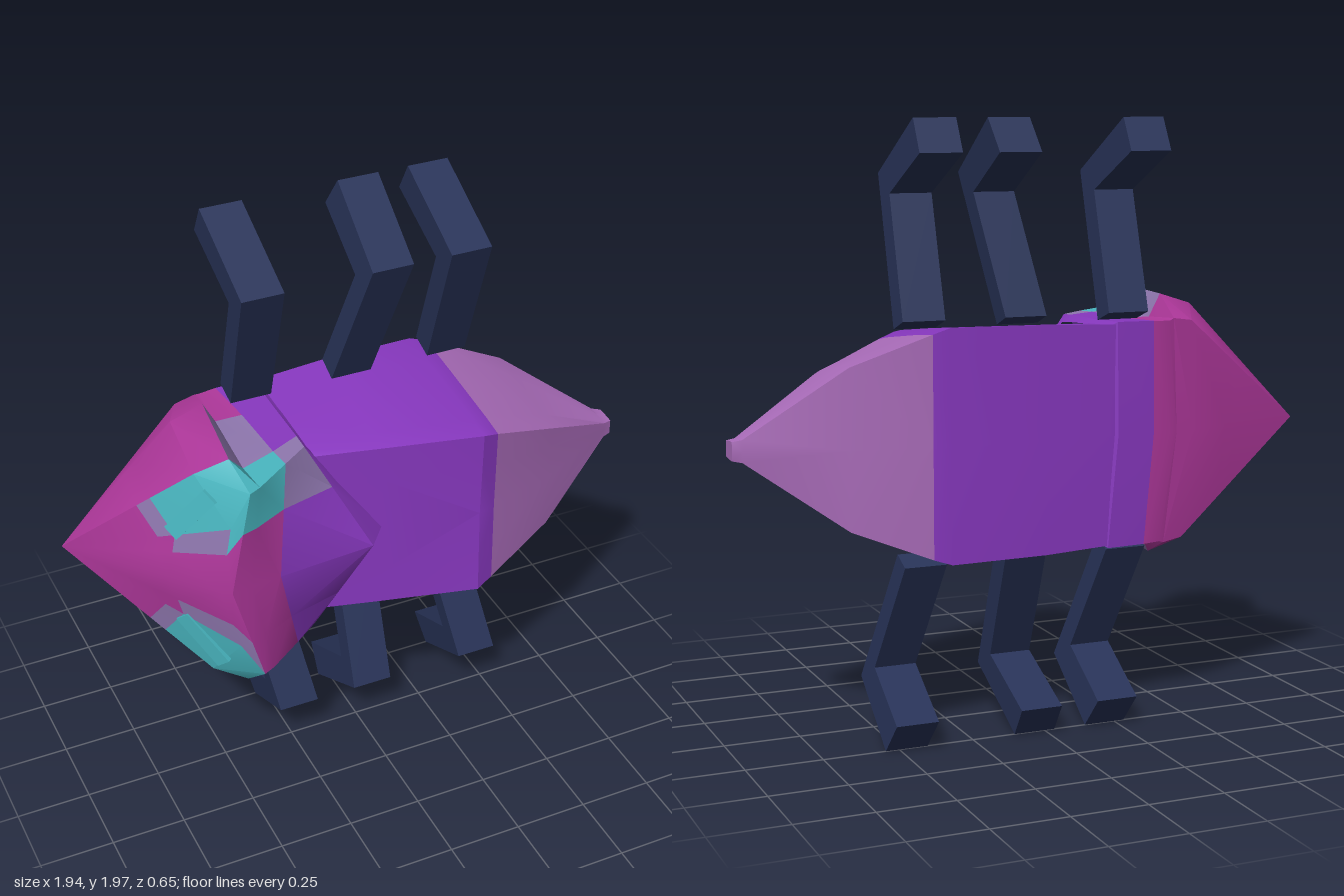
import * as THREE from 'three';
import { toCreasedNormals } from 'three/addons/utils/BufferGeometryUtils.js';

const MID = 0.975; // height of the body's long axis

const paint = (name, color) => {
  const m = new THREE.MeshStandardMaterial({ color });
  m.name = name;
  return m;
};
const lerp3 = (a, b, t) => a.map((v, i) => v + (b[i] - v) * t);

// Six points [x, half width, z] from front centre to back centre become a mirrored ring of 12.
function ring(half, skew) {
  const h = [half[0], lerp3(half[0], half[1], 0.6), ...half.slice(1)];
  const up = h.map(([x, y, z]) => [x, MID + y, z]);
  const down = h.slice(1, 6).reverse().map(([x, y, z]) => [x + skew * y, MID - y, z]);
  return [...up, ...down];
}

// Skin a row of rings; colourOf(band, side, isLower) gives a material index.
function loft(name, sections, skew, materials, colourOf) {
  const rings = sections.map((s) => ring(s, skew));
  const pos = [];
  const colours = [];
  for (let i = 0; i < rings.length - 1; i++) {
    for (let j = 0; j < 12; j++) {
      const k = (j + 1) % 12;
      const [a, b, c, d] = [rings[i][j], rings[i + 1][j], rings[i + 1][k], rings[i][k]];
      // mirror the diagonal on the lower half
      if (j < 6) pos.push(...a, ...b, ...d, ...b, ...c, ...d);
      else pos.push(...a, ...b, ...c, ...a, ...c, ...d);
      colours.push(colourOf(i, Math.min(j, 11 - j), j > 5));
    }
  }
  let geo = new THREE.BufferGeometry();
  geo.setAttribute('position', new THREE.Float32BufferAttribute(pos, 3));
  geo = toCreasedNormals(geo, 0.45);
  geo.clearGroups();
  colours.forEach((c, i) => geo.addGroup(i * 6, 6, c));
  const mesh = new THREE.Mesh(geo, materials);
  mesh.name = name;
  return mesh;
}

// Bent leg: side outline extruded across x, then sheared from hip to foot.
function leg(name, upper, hipX, footX, material) {
  const outline = [[-0.15, 1.34], [0.05, 1.815], [-0.25, 1.99], [-0.32, 1.885], [-0.065, 1.755], [-0.23, 1.37]];
  const shape = new THREE.Shape(outline.map(([z, y]) =>
    new THREE.Vector2(-z, upper ? y : 0.62 - (y - 1.345) * 0.931)));
  const geo = new THREE.ExtrudeGeometry(shape, { depth: 0.14, bevelEnabled: false });
  geo.translate(0, 0, -0.07).rotateY(Math.PI / 2);
  const p = geo.attributes.position;
  for (let i = 0; i < p.count; i++) {
    const y = p.getY(i);
    const t = upper ? (y - 1.35) / 0.6 : (0.62 - y) / 0.6;
    p.setX(i, p.getX(i) + hipX + (footX - hipX) * t);
  }
  geo.computeVertexNormals();
  const mesh = new THREE.Mesh(geo, material);
  mesh.name = name;
  return mesh;
}

export function createModel() {
  const model = new THREE.Group();
  model.name = 'beetle';
  const magenta = paint('magenta', 0xb0389c);
  const purple = paint('purple', 0x8838c0);
  const lilac = paint('lilac', 0xaa6cba);
  const cyan = paint('cyan', 0x4ab8c2);
  const mauve = paint('mauve', 0x9078b0);
  const navy = paint('navy', 0x283358);

  // Head and thorax shield
  const tip = Array(6).fill([-0.97, 0, -0.13]);
  const cheek = [[-0.6, 0, 0.31], [-0.56, 0.23, 0.31], [-0.63, 0.385, 0.2],
    [-0.6, 0.4, -0.08], [-0.53, 0.36, -0.23], [-0.53, 0, -0.25]];
  const along = (t) => cheek.map((p, i) => lerp3(tip[i], p, t));
  const rim = [[-0.57, 0, 0.33], [-0.5, 0.355, 0.33], [-0.53, 0.435, 0.24],
    [-0.49, 0.435, -0.08], [-0.46, 0.37, -0.24], [-0.47, 0, -0.25]];
  const neck = [[-0.5, 0, 0.322], [-0.46, 0.355, 0.31], [-0.47, 0.36, 0.2],
    [-0.45, 0.36, -0.08], [-0.44, 0.363, -0.25], [-0.44, 0, -0.258]];
  const shield = [[-0.4, 0, 0.31], [-0.34, 0.355, 0.225], [-0.35, 0.358, 0.15],
    [-0.36, 0.36, -0.08], [-0.38, 0.366, -0.255], [-0.38, 0, -0.263]];
  const point = [[-0.07, 0, 0.285], [-0.25, 0.353, 0.16], [-0.25, 0.357, 0.1],
    [-0.25, 0.36, -0.08], [-0.25, 0.368, -0.258], [-0.25, 0, -0.268]];
  const lip = [[0, 0, 0.2], [-0.23, 0.33, 0.13], [-0.23, 0.335, 0.08],
    [-0.23, 0.345, -0.08], [-0.23, 0.355, -0.245], [-0.23, 0, -0.25]];
  const [M, P, C, G] = [0, 1, 2, 3];
  const frontColour = (band, side, lower) => {
    if (band === 1) return side === 2 ? G : M;
    if (band === 2) return side === 2 ? C : side === 1 ? G : M;
    if (band === 3) return side === 2 ? C : side === 1 ? (lower ? G : C) : M;
    if (band === 4) return side === 1 ? (lower ? M : C) : side === 2 ? C : side === 3 ? G : M;
    if (band === 5) return lower ? M : side === 1 || side === 2 ? C : side === 3 ? G : M;
    if (band === 6) return !lower && (side === 1 || side === 2) ? G : P;
    return band > 6 ? P : M;
  };
  model.add(loft('headAndThorax',
    [tip, along(0.58), along(0.68), cheek, rim, neck, shield, point, lip],
    0.08, [magenta, purple, cyan, mauve], frontColour));

  // Abdomen and tapering tail
  const abdomen = [
    [[-0.35, 0, 0.12], [-0.35, 0.3, 0.12], [-0.35, 0.32, 0.08], [-0.35, 0.345, -0.08], [-0.35, 0.355, -0.25], [-0.35, 0, -0.255]],
    [[0, 0, 0.205], [0, 0.303, 0.205], [0, 0.315, 0.13], [0, 0.35, -0.08], [0, 0.37, -0.265], [0, 0, -0.27]],
    [[0.32, 0, 0.27], [0.32, 0.305, 0.28], [0.32, 0.32, 0.2], [0.32, 0.355, -0.08], [0.32, 0.375, -0.26], [0.32, 0, -0.26]],
    [[0.38, 0, 0.255], [0.38, 0.285, 0.26], [0.38, 0.3, 0.18], [0.38, 0.335, -0.08], [0.38, 0.355, -0.255], [0.38, 0, -0.255]],
    [[0.63, 0, 0.18], [0.63, 0.19, 0.18], [0.63, 0.21, 0.12], [0.63, 0.245, -0.07], [0.63, 0.258, -0.19], [0.63, 0, -0.195]],
    [[0.94, 0, 0.015], [0.94, 0.028, 0.015], [0.94, 0.03, 0], [0.94, 0.035, -0.04], [0.94, 0.036, -0.075], [0.94, 0, -0.08]],
    [[0.97, 0, 0.005], [0.97, 0.025, 0.005], [0.97, 0.027, -0.01], [0.97, 0.03, -0.04], [0.97, 0.03, -0.065], [0.97, 0, -0.07]],
    Array(6).fill([0.97, 0, -0.03]),
  ];
  model.add(loft('abdomenAndTail', abdomen, 0, [purple, lilac], (band) => (band < 3 ? 0 : 1)));

  // Raised eye bars lying on the cheek facets
  for (const s of [1, -1]) {
    const normal = new THREE.Vector3(-0.0935, 0.0143 * s, 0.0797).normalize();
    const dir = new THREE.Vector3(0.11, 0.17 * s, 0.09);
    dir.addScaledVector(normal, -dir.dot(normal)).normalize();
    const across = new THREE.Vector3().crossVectors(normal, dir);
    const eye = new THREE.Mesh(new THREE.BoxGeometry(0.21, 0.055, 0.04), cyan);
    eye.quaternion.setFromRotationMatrix(new THREE.Matrix4().makeBasis(dir, across, normal));
    eye.position.set(s > 0 ? -0.64 : -0.62, MID + 0.245 * s, 0.2);
    eye.name = s > 0 ? 'upperEye' : 'lowerEye';
    model.add(eye);
  }

  // Three legs on each side: [hip x, foot x]
  const upperLegs = [[-0.3, -0.335], [0.055, 0.12], [0.4, 0.37]];
  const lowerLegs = [[-0.3, -0.215], [0.06, 0.035], [0.395, 0.475]];
  upperLegs.forEach(([h, f], i) => model.add(leg(`upperLeg${i + 1}`, true, h, f, navy)));
  lowerLegs.forEach(([h, f], i) => model.add(leg(`lowerLeg${i + 1}`, false, h, f, navy)));
  return model;
}
